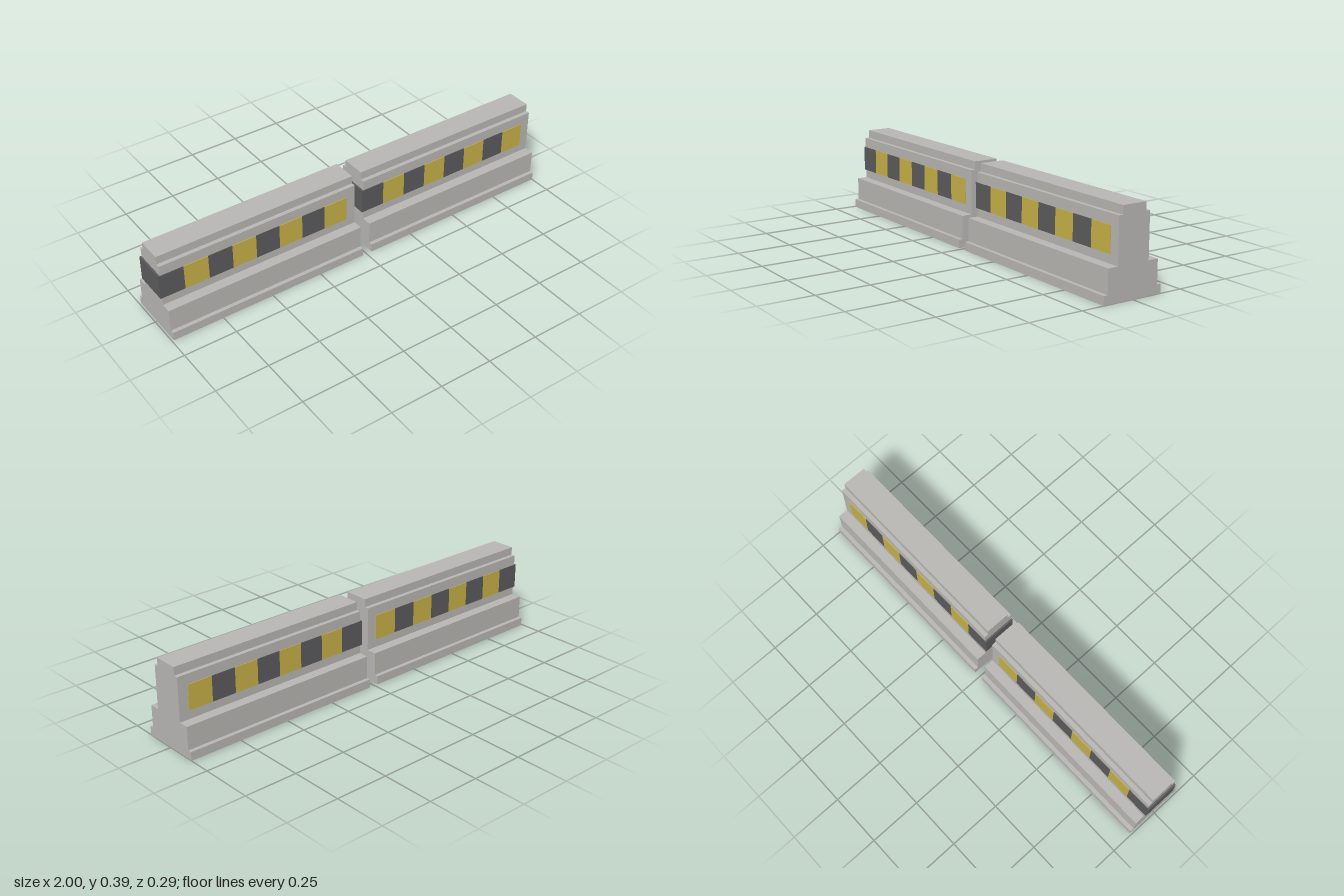
import * as THREE from 'three';

const concrete = new THREE.MeshStandardMaterial({ name: 'concrete grey', color: 0xb8b6b3 });
const yellow = new THREE.MeshStandardMaterial({ name: 'warning yellow', color: 0xc6b048 });
const dark = new THREE.MeshStandardMaterial({ name: 'dark grey', color: 0x5b5b5d });

const LENGTH = 0.972;
const STRIPES = 8;
const STRIPE_WIDTH = 0.1167;

// Half of the stepped cross-section, from base to top: [half depth, height]
const PROFILE = [
  [0.145, 0], [0.145, 0.04], [0.126, 0.04], [0.126, 0.147],
  [0.078, 0.147], [0.078, 0.35], [0.058, 0.35], [0.058, 0.388],
];

function createBarrier(name, startX) {
  const barrier = new THREE.Group();
  barrier.name = name;
  barrier.position.x = startX;

  // Concrete body: mirrored profile extruded along x
  const outline = [
    ...PROFILE.map(([z, y]) => new THREE.Vector2(z, y)),
    ...[...PROFILE].reverse().map(([z, y]) => new THREE.Vector2(-z, y)),
  ];
  const bodyGeometry = new THREE.ExtrudeGeometry(new THREE.Shape(outline), { depth: LENGTH, bevelEnabled: false });
  bodyGeometry.rotateY(Math.PI / 2);
  const body = new THREE.Mesh(bodyGeometry, concrete);
  body.name = 'concreteBody';
  barrier.add(body);

  // Warning band: alternating blocks running through the body, just proud of it
  const stripeGeometry = new THREE.BoxGeometry(STRIPE_WIDTH, 0.117, 0.162);
  for (let i = 0; i < STRIPES; i++) {
    const stripe = new THREE.Mesh(stripeGeometry, i % 2 ? yellow : dark);
    stripe.name = i % 2 ? 'yellowStripe' : 'darkStripe';
    stripe.position.set(-0.0085 + (i + 0.5) * STRIPE_WIDTH, 0.2445, 0);
    barrier.add(stripe);
  }
  return barrier;
}

export function createModel() {
  const model = new THREE.Group();
  model.name = 'roadBarriers';
  model.add(createBarrier('rightBarrier', -0.9915), createBarrier('leftBarrier', 0.028));
  return model;
}
